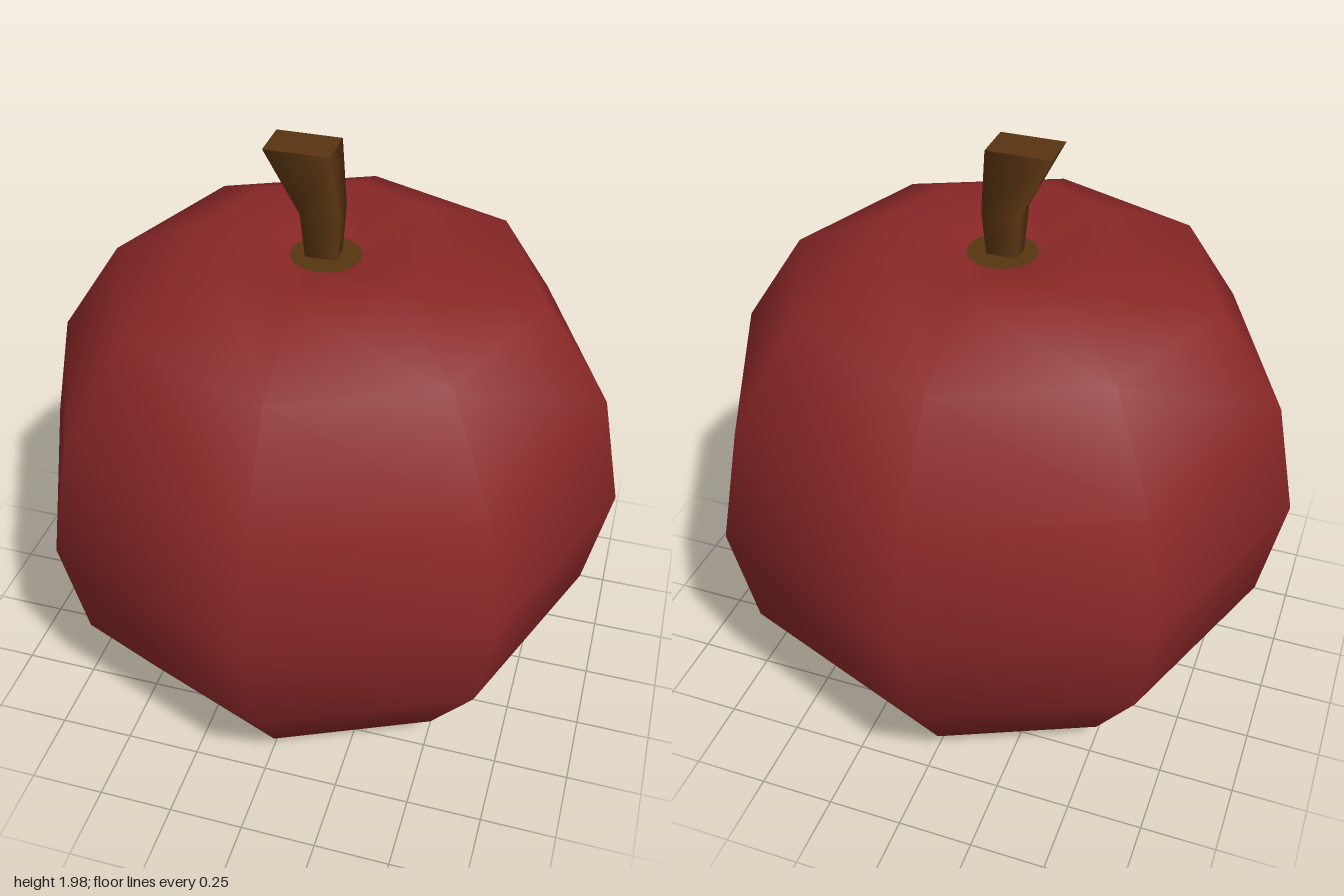
import * as THREE from 'three';

const skin = new THREE.MeshStandardMaterial({ color: 0x8a2727 });
skin.name = 'red skin';
const bark = new THREE.MeshStandardMaterial({ color: 0x593411 });
bark.name = 'brown stem';
const dry = new THREE.MeshStandardMaterial({ color: 0x573610 });
dry.name = 'dry brown';

const TURN = 0.03; // slight twist of the eight-sided body

function part(name, geometry, material) {
  const mesh = new THREE.Mesh(geometry, material);
  mesh.name = name;
  return mesh;
}

export function createModel() {
  const group = new THREE.Group();
  group.name = 'apple';

  // Eight-sided body with a dimple at each end, listed from the bottom up
  const profile = [
    [0, 0.125], [0.21, 0.105], [0.385, 0], [0.708, 0.113], [0.924, 0.44], [1, 0.82],
    [0.924, 1.203], [0.708, 1.53], [0.385, 1.672], [0.115, 1.605], [0, 1.59],
  ].map(([r, y]) => new THREE.Vector2(r, y));
  group.add(part('body', new THREE.LatheGeometry(profile, 8, TURN), skin));

  // Dry patches in the two dimples
  const topPatch = part('topPatch', new THREE.CircleGeometry(0.115, 16), dry);
  topPatch.rotation.x = -Math.PI / 2;
  topPatch.position.y = 1.612;
  const bottomPatch = part('bottomPatch', new THREE.CircleGeometry(0.21, 8), dry);
  bottomPatch.rotation.x = Math.PI / 2;
  bottomPatch.position.y = 0.1;
  group.add(topPatch, bottomPatch);

  // Four-sided stem: each level has a height, centre x, width and depth
  const levels = [
    { y: 1.59, x: -0.008, w: 0.1, d: 0.065 },
    { y: 1.765, x: -0.009, w: 0.125, d: 0.09 },
    { y: 1.98, x: -0.073, w: 0.21, d: 0.14 },
  ];
  const stem = new THREE.CylinderGeometry(Math.SQRT1_2, Math.SQRT1_2, 2, 4, 2, false, Math.PI / 4);
  const p = stem.attributes.position;
  for (let i = 0; i < p.count; i++) {
    const l = levels[Math.round(p.getY(i)) + 1];
    p.setXYZ(i, l.x + p.getX(i) * l.w, l.y, p.getZ(i) * l.d);
  }
  group.add(part('stem', stem, bark));

  return group;
}
